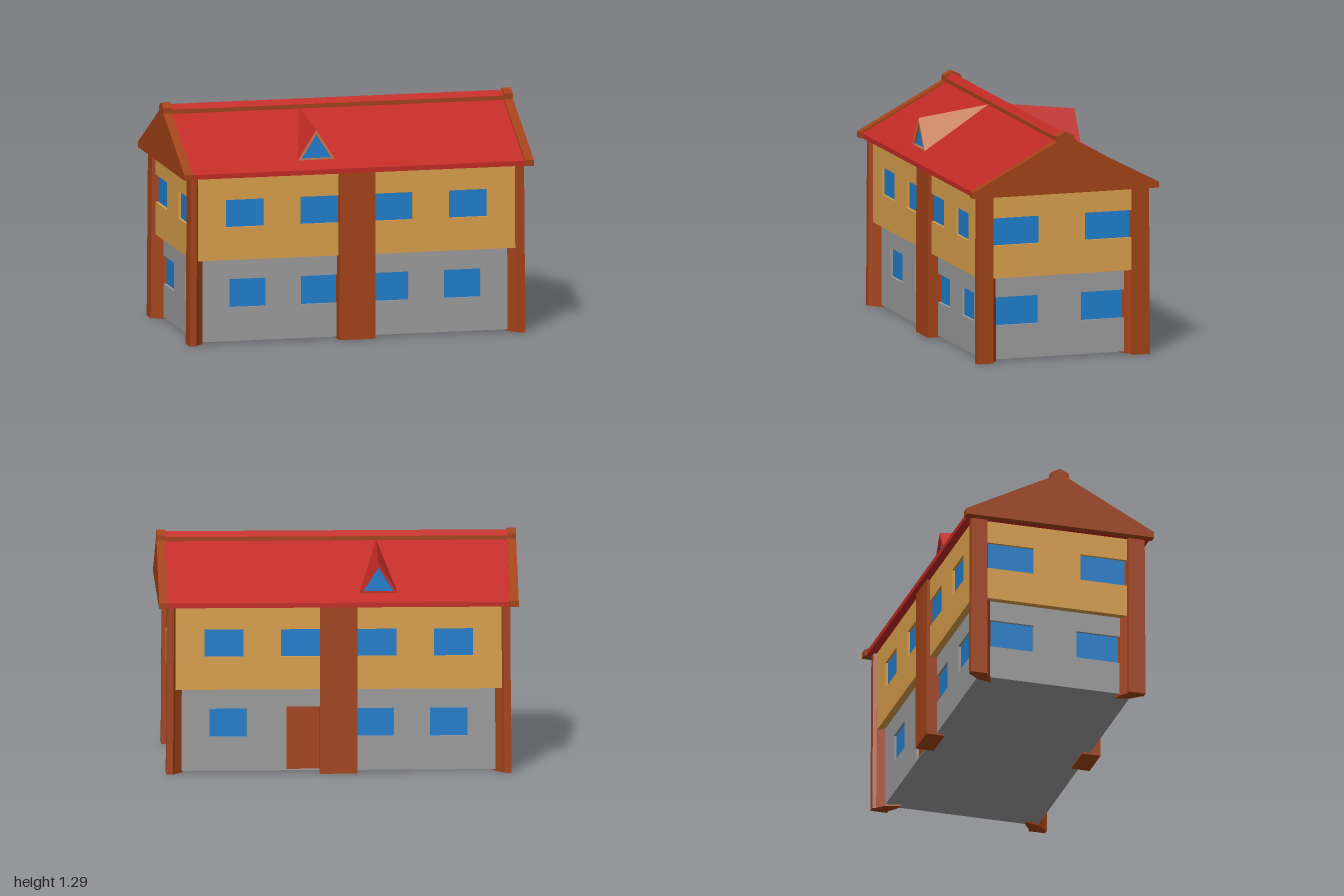
import * as THREE from 'three';

const mat = (color) => new THREE.MeshStandardMaterial({ color, flatShading: true, side: THREE.DoubleSide });
const grey = mat(0x9b9b9b), yellow = mat(0xd99f4b), brown = mat(0xa24217);
const red = mat(0xc12a25), blue = mat(0x1f7dcc), tan = mat(0xc87850);

function add(parent, name, geometry, material, x = 0, y = 0, z = 0) {
  const mesh = new THREE.Mesh(geometry, material);
  mesh.name = name;
  mesh.position.set(x, y, z);
  parent.add(mesh);
  return mesh;
}

const polygon = (points) => new THREE.Shape(points.map(([x, y]) => new THREE.Vector2(x, y)));
const extrude = (shape, depth) => new THREE.ExtrudeGeometry(shape, { depth, bevelEnabled: false });
const rect = (x0, x1, y0, y1) => [[x0, y0], [x1, y0], [x1, y1], [x0, y1]];

// Wall panel facing +z with recessed panes, turned about the vertical axis
function wall(parent, name, width, y0, y1, distance, turn, openings, material) {
  const group = new THREE.Group();
  group.name = name;
  const t = 0.025;
  const shape = polygon(rect(-width / 2, width / 2, y0, y1));
  for (const [a, b, c, d, fill] of openings) {
    shape.holes.push(polygon(rect(a, b, c, d)));
    add(group, fill === brown ? 'door' : 'windowPane',
      new THREE.ShapeGeometry(polygon(rect(a, b, c, d))), fill, 0, 0, distance - 0.015);
  }
  add(group, 'wallPanel', extrude(shape, t), material, 0, 0, distance - t);
  group.rotation.y = turn;
  parent.add(group);
}

// One storey: closed core plus four walls with windows
function storey(parent, name, W, D, y0, y1, frontX, sideX, sill, head, material, hasDoor) {
  const group = new THREE.Group();
  group.name = name;
  parent.add(group);
  const t = 0.025;
  add(group, 'core', new THREE.BoxGeometry(2 * (W - t), y1 - y0, 2 * (D - t)), material, 0, (y0 + y1) / 2, 0);
  const pair = ([a, b]) => [[a, b, sill, head, blue], [-b, -a, sill, head, blue]];
  const front = frontX.flatMap(pair);
  const back = frontX.flatMap(pair);
  if (hasDoor) back[1] = [-0.29, -0.09, y0 + 0.005, 0.37, brown];
  const sides = pair(sideX);
  wall(group, 'frontWall', 2 * W, y0, y1, D, 0, front, material);
  wall(group, 'backWall', 2 * W, y0, y1, D, Math.PI, back, material);
  wall(group, 'leftWall', 2 * (D - t), y0, y1, W, Math.PI / 2, sides, material);
  wall(group, 'rightWall', 2 * (D - t), y0, y1, W, -Math.PI / 2, sides, material);
}

// Upright post from a plan outline, tapering slightly upwards
function post(parent, name, plan) {
  const geometry = extrude(polygon(plan.map(([x, z]) => [x, -z])), 0.95).rotateX(-Math.PI / 2);
  const p = geometry.attributes.position;
  for (let i = 0; i < p.count; i++) {
    const k = 1 - 0.007 * p.getY(i);
    p.setXYZ(i, p.getX(i) * k, p.getY(i), p.getZ(i) * k);
  }
  geometry.computeVertexNormals();
  add(parent, name, geometry, brown);
}

// Symmetric cross-section (z, y) swept along x
function alongX(half, length) {
  const mirrored = half.filter(([z]) => z > 0).map(([z, y]) => [-z, y]).reverse();
  return extrude(polygon([...half, ...mirrored]), length).rotateY(Math.PI / 2);
}

// Wedge dormer facing +z, its ridge running back to the main ridge
function dormer(parent, name, frontZ, sideA, sideB, turn) {
  const group = new THREE.Group();
  group.name = name;
  const w = 0.108, base = 1.012, top = 1.183;
  const tip = [0, 1.235, 0.04];
  const side = (s) => {
    const corners = [s * w, base, frontZ, ...tip, 0, top, frontZ];
    const geometry = new THREE.BufferGeometry();
    geometry.setAttribute('position', new THREE.Float32BufferAttribute(
      s > 0 ? corners : [...corners.slice(0, 3), ...corners.slice(6), ...tip], 3));
    geometry.computeVertexNormals();
    return geometry;
  };
  add(group, 'dormerSlopeRight', side(-1), sideA);
  add(group, 'dormerSlopeLeft', side(1), sideB);
  const opening = [[-0.085, base + 0.01], [0.085, base + 0.01], [0, top - 0.027]];
  const frame = polygon([[-w, base], [w, base], [0, top]]);
  frame.holes.push(polygon(opening));
  add(group, 'dormerFrame', extrude(frame, 0.02), sideB, 0, 0, frontZ - 0.02);
  add(group, 'dormerPane', new THREE.ShapeGeometry(polygon(opening)), blue, 0, 0, frontZ - 0.014);
  group.position.x = -0.222;
  group.rotation.y = turn;
  parent.add(group);
}

export function createModel() {
  const house = new THREE.Group();
  house.name = 'house';

  // Storeys, the upper one overhanging the lower
  storey(house, 'lowerStorey', 0.895, 0.445, 0.01, 0.475,
    [[0.09, 0.308], [0.51, 0.718]], [0.125, 0.385], 0.2, 0.36, grey, true);
  storey(house, 'upperStorey', 0.935, 0.485, 0.475, 0.955,
    [[0.09, 0.322], [0.53, 0.747]], [0.135, 0.42], 0.66, 0.815, yellow, false);

  // Corner posts with splayed inner faces, and the middle pillars
  const corner = [[0.85, 0.36], [0.873, 0.445], [0.912, 0.488], [0.922, 0.507],
    [0.96, 0.507], [0.96, 0.412], [0.935, 0.408], [0.895, 0.376]];
  for (const sz of [1, -1]) {
    for (const sx of [1, -1]) post(house, 'cornerPost', corner.map(([x, z]) => [sx * x, sz * z]));
    post(house, 'middlePillar', rect(-0.104, 0.104, 0.4, 0.506).map(([x, z]) => [x, sz * z]));
  }

  // Main roof
  add(house, 'roof', alongX([[0.53, 0.945], [0.53, 0.972], [0.04, 1.232]], 1.92), red, -0.96);

  // Ridge: brown curb below a red cap
  add(house, 'ridgeCurb', alongX([[0.04, 1.22], [0.04, 1.256]], 1.92), brown, -0.96);
  add(house, 'ridgeCap', alongX([[0.042, 1.256], [0, 1.282]], 1.92), red, -0.96);

  // Gable ends
  const gable = [[0.545, 0.945], [0.545, 0.978], [0.05, 1.238], [0.05, 1.268], [0, 1.293]];
  for (const x of [-1, 0.95]) add(house, 'gableEnd', alongX(gable, 0.05), brown, x);

  // Dormers
  dormer(house, 'frontDormer', 0.45, red, tan, 0);
  dormer(house, 'backDormer', 0.465, red, red, Math.PI);

  return house;
}
